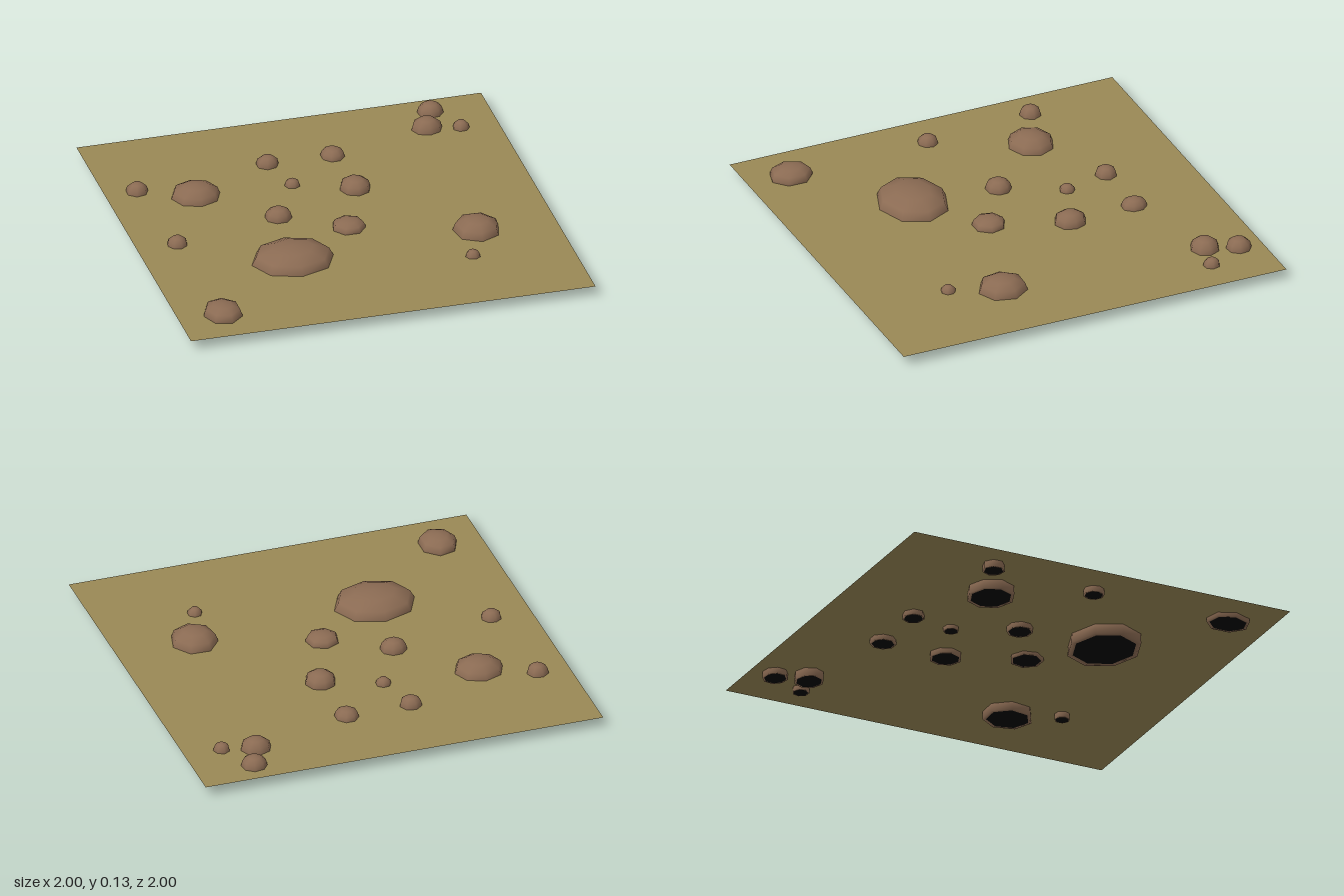
import * as THREE from 'three';

const earth = new THREE.MeshStandardMaterial({ color: 0x998855, side: THREE.DoubleSide });
earth.name = 'dry earth';
const stone = new THREE.MeshStandardMaterial({ color: 0x8b6b53 });
stone.name = 'brown stone';
const hollow = new THREE.MeshStandardMaterial({ color: 0x040404 });
hollow.name = 'dark underside';

const GROUND_Y = 0.05;

// Dome profile from the foot to just below the peak: [radius, height], both 0..1
const PROFILE = [[0.86, 0], [1, 0], [0.985, 0.38], [0.88, 0.7], [0.5, 0.92]];

// x, z, half width, half depth, base y, top y, sides, turn in degrees
const ROCKS = [
  [-0.315, 0.355, 0.205, 0.175, 0, 0.13, 8, 0],
  [-0.585, -0.385, 0.123, 0.115, 0.005, 0.115, 8, 0],
  [-0.84, -0.5, 0.053, 0.053, 0.015, 0.1, 7, -50],
  [-0.8, 0.055, 0.05, 0.05, 0.02, 0.095, 8, -10],
  [-0.785, 0.78, 0.09, 0.105, 0.03, 0.11, 7, -128],
  [-0.265, -0.07, 0.062, 0.06, 0.025, 0.105, 8, 20],
  [0.03, 0.11, 0.08, 0.078, 0.035, 0.095, 7, -90],
  [0.165, -0.25, 0.076, 0.08, 0.025, 0.11, 8, 0],
  [0.15, -0.59, 0.055, 0.06, 0.025, 0.095, 8, 22],
  [-0.17, -0.59, 0.053, 0.052, 0.025, 0.1, 7, 0],
  [-0.115, -0.36, 0.037, 0.037, 0.03, 0.085, 7, -20],
  [0.61, 0.31, 0.113, 0.118, 0.01, 0.12, 7, -62],
  [0.52, 0.55, 0.036, 0.037, 0.02, 0.085, 7, -75],
  [0.655, -0.73, 0.077, 0.072, 0.01, 0.11, 8, 0],
  [0.715, -0.88, 0.062, 0.06, 0.02, 0.105, 8, 15],
  [0.815, -0.695, 0.04, 0.04, 0.025, 0.09, 7, 10],
];

// Polygon outline stretched to fill -1..1 in both directions
function outline(sides, turn) {
  const pts = [];
  for (let i = 0; i < sides; i++) {
    const a = THREE.MathUtils.degToRad(turn) + (i / sides) * Math.PI * 2;
    pts.push(new THREE.Vector2(Math.cos(a), Math.sin(a)));
  }
  const box = new THREE.Box2().setFromPoints(pts);
  const mid = box.getCenter(new THREE.Vector2());
  const half = box.getSize(new THREE.Vector2()).multiplyScalar(0.5);
  return pts.map((p) => p.sub(mid).divide(half));
}

function makeRock([x, z, rx, rz, base, top, sides, turn]) {
  const ring = outline(sides, turn);
  const pos = [];
  const index = [];

  // Smooth dome built from rings and closed by a peak
  for (const [r, h] of PROFILE) {
    for (const p of ring) pos.push(p.x * rx * r, h * (top - base), p.y * rz * r);
  }
  const peak = pos.length / 3;
  pos.push(0, top - base, 0);
  for (let k = 0; k < PROFILE.length; k++) {
    for (let i = 0; i < sides; i++) {
      const j = (i + 1) % sides;
      const a = k * sides + i;
      const b = k * sides + j;
      if (k === PROFILE.length - 1) index.push(a, peak, b);
      else index.push(a, a + sides, b, b, a + sides, b + sides);
    }
  }
  const domeCount = index.length;

  // Underside fan with its own vertices
  const centre = pos.length / 3;
  pos.push(0, 0, 0);
  const r = PROFILE[0][0];
  for (const p of ring) pos.push(p.x * rx * r, 0, p.y * rz * r);
  for (let i = 0; i < sides; i++) {
    index.push(centre, centre + 1 + i, centre + 1 + ((i + 1) % sides));
  }

  const geo = new THREE.BufferGeometry();
  geo.setAttribute('position', new THREE.Float32BufferAttribute(pos, 3));
  geo.setIndex(index);
  geo.addGroup(0, domeCount, 0);
  geo.addGroup(domeCount, index.length - domeCount, 1);
  geo.computeVertexNormals();

  const rock = new THREE.Mesh(geo, [stone, hollow]);
  rock.position.set(x, base, z);
  return rock;
}

export function createModel() {
  const model = new THREE.Group();
  model.name = 'rockyGround';

  // Flat square of earth
  const ground = new THREE.Mesh(new THREE.PlaneGeometry(2, 2).rotateX(-Math.PI / 2), earth);
  ground.name = 'ground';
  ground.position.y = GROUND_Y;
  model.add(ground);

  // Scattered rocks, each sunk through the ground
  ROCKS.forEach((spec, i) => {
    const rock = makeRock(spec);
    rock.name = `rock${i + 1}`;
    model.add(rock);
  });
  return model;
}
